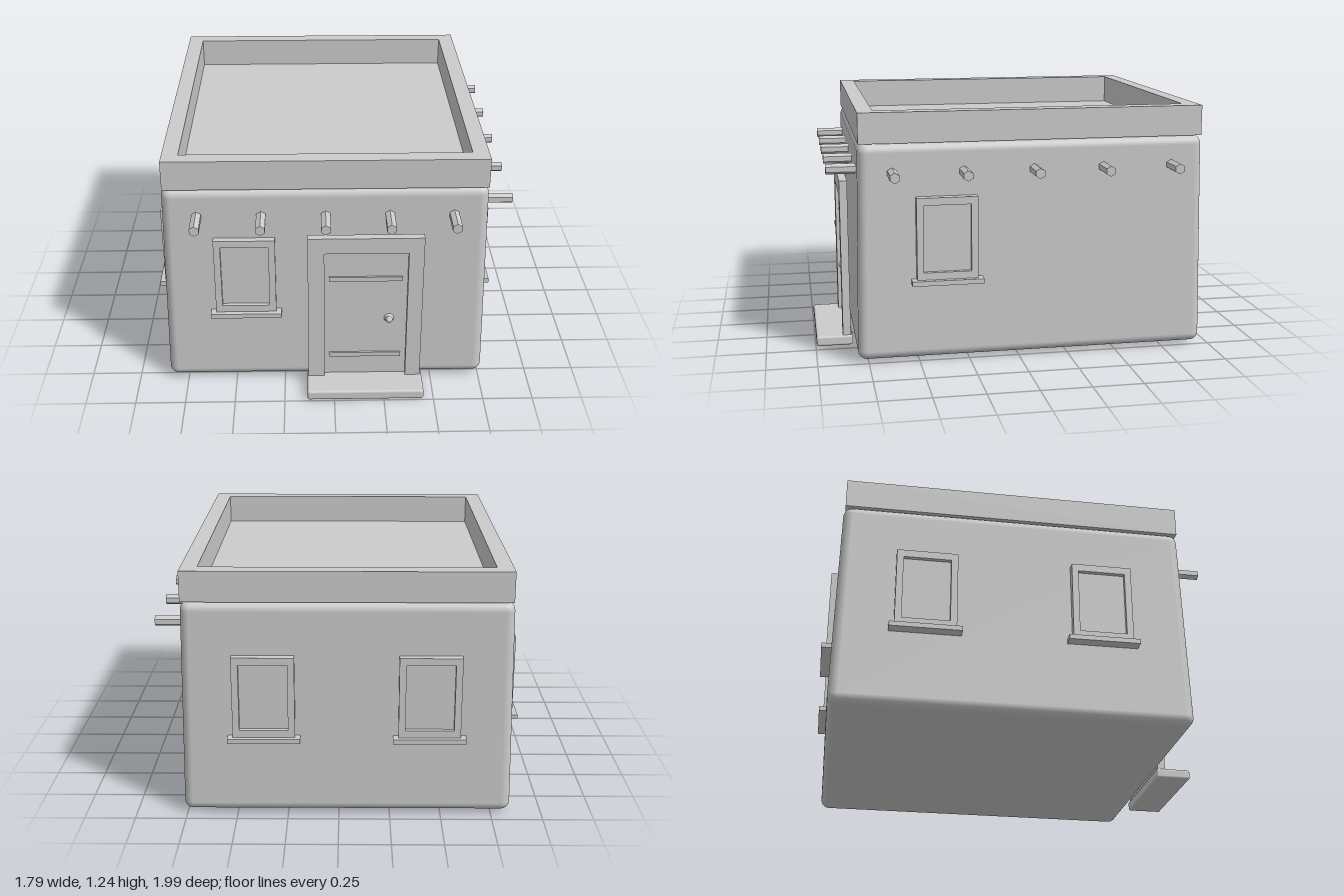
import * as THREE from 'three';
import { RoundedBoxGeometry } from 'three/addons/geometries/RoundedBoxGeometry.js';

const CX = -0.04, CZ = -0.075; // centre of the house
const material = new THREE.MeshStandardMaterial({ color: 0xcccccc });

function add(parent, name, geometry, x = 0, y = 0, z = 0) {
  const mesh = new THREE.Mesh(geometry, material);
  mesh.name = name;
  mesh.position.set(x, y, z);
  parent.add(mesh);
  return mesh;
}

const box = (w, h, d) => new THREE.BoxGeometry(w, h, d);

// Rectangular ring in the XY plane, extruded along +z; hole = [x0, y0, x1, y1]
function ring(w, h, hole, depth) {
  const [x0, y0, x1, y1] = hole;
  const rect = (T, a, b, c, d) => new T([[a, b], [c, b], [c, d], [a, d]].map(p => new THREE.Vector2(...p)));
  const shape = rect(THREE.Shape, -w / 2, -h / 2, w / 2, h / 2);
  shape.holes.push(rect(THREE.Path, x0, y0, x1, y1));
  return new THREE.ExtrudeGeometry(shape, { depth, bevelEnabled: false });
}

// Adobe body: rounded box that narrows slightly upwards
function bodyGeometry() {
  const h = 1.072;
  const geometry = new RoundedBoxGeometry(1.61, h, 1.754, 5, 0.045);
  const p = geometry.attributes.position;
  for (let i = 0; i < p.count; i++) {
    const k = 1 - 0.022 * (p.getY(i) / h + 0.5);
    p.setX(i, p.getX(i) * k);
    p.setZ(i, p.getZ(i) * k);
  }
  return geometry;
}

// Window facing +z, with its frame's front face at z = 0
function makeWindow(name) {
  const g = new THREE.Group();
  g.name = name;
  add(g, 'windowFrame', ring(0.3, 0.41, [-0.117, -0.165, 0.117, 0.168], 0.07), 0, 0.625, -0.07);
  add(g, 'windowPane', box(0.24, 0.34, 0.04), 0, 0.626, -0.042);
  add(g, 'windowSill', box(0.352, 0.024, 0.1), 0, 0.412, -0.026);
  return g;
}

function makeDoor() {
  const g = new THREE.Group();
  g.name = 'door';
  g.position.set(0.155, 0, 0);
  // Frame: two jambs and a lintel as one open-bottomed outline
  const outline = [[-0.284, 0.04], [-0.203, 0.04], [-0.203, 0.776], [0.209, 0.776],
    [0.209, 0.04], [0.284, 0.04], [0.284, 0.86], [-0.284, 0.86]];
  const shape = new THREE.Shape(outline.map(p => new THREE.Vector2(...p)));
  add(g, 'doorFrame', new THREE.ExtrudeGeometry(shape, { depth: 0.04, bevelEnabled: false }), 0, 0, 0.82);
  add(g, 'doorPanel', box(0.412, 0.74, 0.014), 0.003, 0.41, 0.827);
  for (const y of [0.17, 0.62]) add(g, 'doorBatten', box(0.362, 0.024, 0.012), 0.002, y, 0.838);
  // Round handle
  add(g, 'handlePlate', new THREE.CylinderGeometry(0.017, 0.025, 0.012, 16).rotateX(Math.PI / 2), 0.121, 0.386, 0.84);
  add(g, 'handleKnob', new THREE.SphereGeometry(0.017, 16, 12), 0.121, 0.386, 0.85);
  return g;
}

export function createModel() {
  const model = new THREE.Group();
  model.name = 'adobeHouse';

  add(model, 'body', bodyGeometry(), CX, 0.554, CZ);

  // Parapet around the sunken flat roof
  const parapet = ring(1.565, 1.706, [-0.7025, -0.775, 0.7025, 0.775], 0.15).rotateX(-Math.PI / 2);
  add(model, 'parapet', parapet, -0.0375, 1.09, -0.0725);

  // Roof beam ends, hexagonal, along the front and the left side
  const beam = new THREE.CylinderGeometry(0.026, 0.026, 0.25, 6).toNonIndexed().rotateX(Math.PI / 2);
  beam.computeVertexNormals();
  const sideBeam = beam.clone().rotateY(Math.PI / 2);
  for (let i = -2; i <= 2; i++) {
    add(model, 'frontBeam', beam, CX + i * 0.311, 0.948, 0.805);
    add(model, 'sideBeam', sideBeam, 0.763, 0.948, CZ + i * 0.348);
  }

  // Windows: [name, x, z, turn about y]
  const q = Math.PI / 2;
  const windows = [
    ['frontWindow', -0.437, 0.821, 0],
    ['leftWindow', 0.794, 0.361, q],
    ['rightFrontWindow', -0.874, 0.357, -q],
    ['rightBackWindow', -0.874, -0.512, -q],
    ['backRightWindow', -0.437, -0.973, 2 * q],
    ['backLeftWindow', 0.361, -0.973, 2 * q],
  ];
  for (const [name, x, z, turn] of windows) {
    const w = makeWindow(name);
    w.position.set(x, 0, z);
    w.rotation.y = turn;
    model.add(w);
  }

  model.add(makeDoor());
  add(model, 'doorStep', new RoundedBoxGeometry(0.586, 0.052, 0.185, 3, 0.012), 0.157, 0.026, 0.903);

  return model;
}
